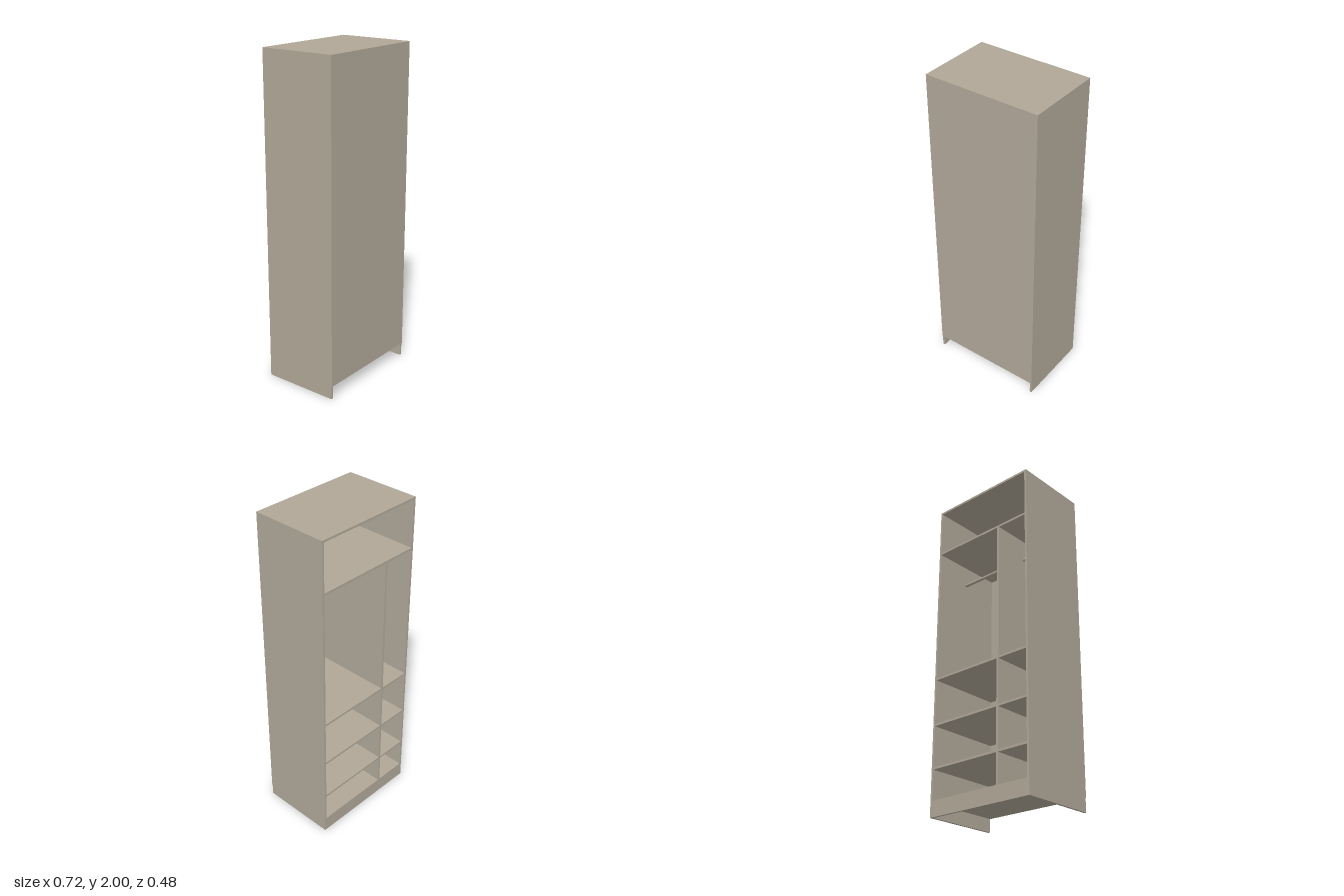
import * as THREE from 'three';

// Tall open wardrobe carcass: panels, divider, shelves, plinth and hanging rail
export function createModel() {
  const group = new THREE.Group();
  const board = new THREE.MeshStandardMaterial({ color: 0xb0a798 });
  board.name = 'greige board';

  const X = 0.359, Z = 0.24, H = 2, T = 0.0133; // half width, half depth, height, board thickness
  const SHEET = 0.004;                          // thin closing sheet on the +z side
  const BASE = 0.081;                           // plinth height
  const DIV = -0.137;                           // divider centre in x
  const TOP_SHELF = 1.683;                      // underside of the full-width shelf
  const inner = X - T;

  // Box given by its minimum and maximum corners
  const panel = (name, x0, x1, y0, y1, z0, z1) => {
    const mesh = new THREE.Mesh(new THREE.BoxGeometry(x1 - x0, y1 - y0, z1 - z0), board);
    mesh.position.set((x0 + x1) / 2, (y0 + y1) / 2, (z0 + z1) / 2);
    mesh.name = name;
    group.add(mesh);
  };
  const zIn = Z - SHEET;

  // Outer carcass
  panel('leftSide', inner, X, 0, H, -Z, zIn);
  panel('rightSide', -X, -inner, 0, H, -Z, zIn);
  panel('topPanel', -inner, inner, H - T, H, -Z, zIn);
  panel('bottomPanel', -inner, inner, BASE, BASE + T, -Z, zIn);
  panel('plinth', -inner, inner, 0, BASE, -Z, -Z + T);
  panel('closingSheet', -X, X, BASE, H, zIn, Z);

  // Full-width upper shelf and vertical divider below it
  panel('upperShelf', -inner, inner, TOP_SHELF, TOP_SHELF + T, -Z, zIn);
  panel('divider', DIV - T / 2, DIV + T / 2, BASE + T, TOP_SHELF, -Z, zIn);

  // Shelves on both sides of the divider
  for (const y of [0.274, 0.534, 0.821]) {
    panel('wideShelf', DIV + T / 2, inner, y, y + T, -Z, zIn);
    panel('narrowShelf', -inner, DIV - T / 2, y, y + T, -Z, zIn);
  }

  // Hanging rails, one per compartment
  for (const [name, x0, x1] of [['wideRail', DIV + T / 2, inner], ['narrowRail', -inner, DIV - T / 2]]) {
    const rail = new THREE.Mesh(new THREE.CylinderGeometry(0.01, 0.01, x1 - x0, 24), board);
    rail.rotation.z = Math.PI / 2;
    rail.position.set((x0 + x1) / 2, 1.555, -0.01);
    rail.name = name;
    group.add(rail);
  }
  return group;
}
